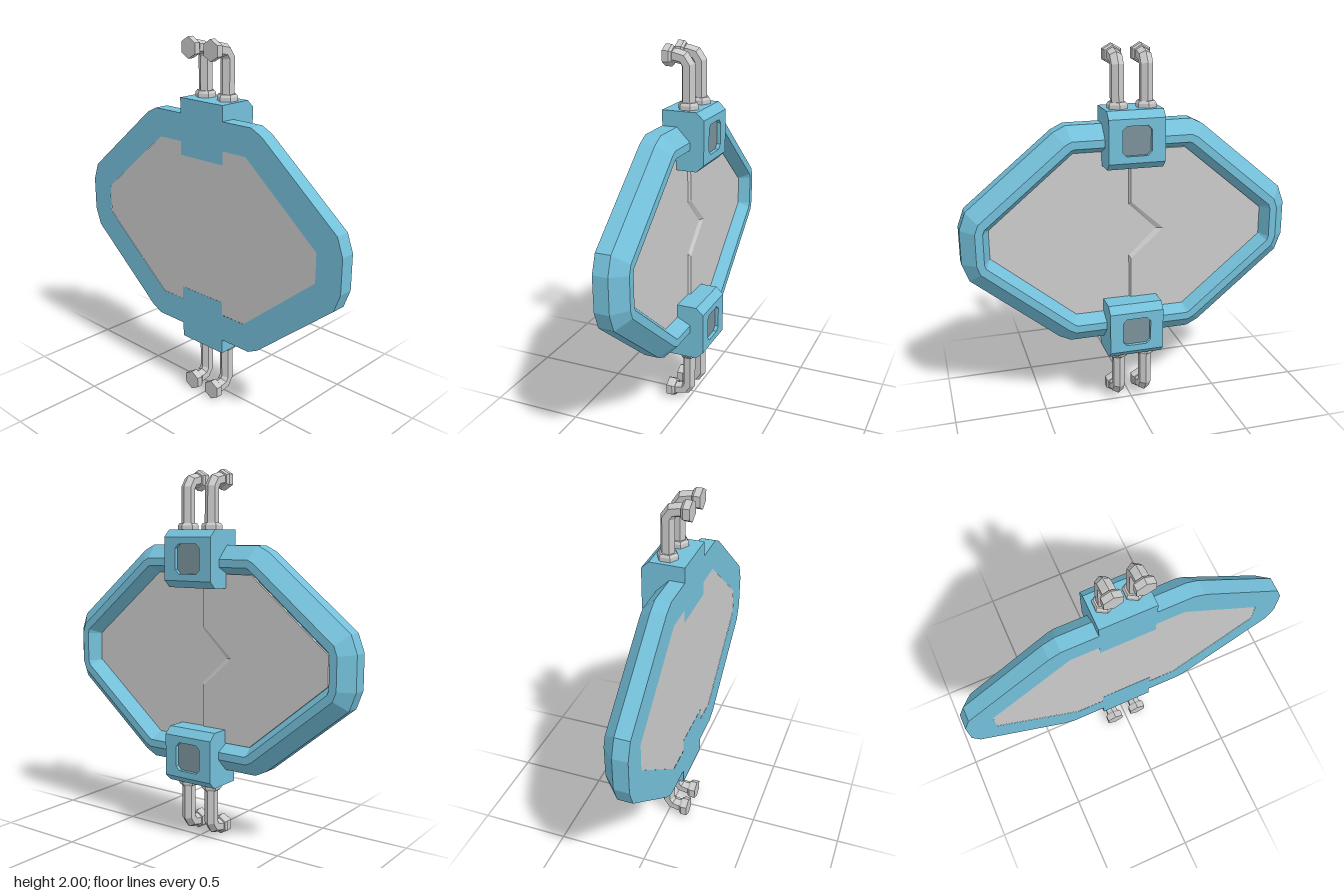
import * as THREE from 'three';

const blue = new THREE.MeshStandardMaterial({ color: 0x74c0da, flatShading: true });
const grey = new THREE.MeshStandardMaterial({ color: 0xcccccc, flatShading: true });
const dark = new THREE.MeshStandardMaterial({ color: 0x7b929b, flatShading: true });

// Skin a series of counter-clockwise rings of [x, y, z] points, flat shaded
function loft(rings, closed = true) {
  const pos = [];
  const tri = (a, b, c) => {
    const t = new THREE.Triangle(...[a, b, c].map((p) => new THREE.Vector3(...p)));
    if (t.getArea() > 1e-9) pos.push(...a, ...b, ...c);
  };
  for (let k = 0; k + 1 < rings.length; k++) {
    const r = rings[k], s = rings[k + 1], n = r.length;
    for (let i = 0; i < (closed ? n : n - 1); i++) {
      const j = (i + 1) % n;
      tri(r[i], r[j], s[i]);
      tri(r[j], s[j], s[i]);
    }
  }
  const g = new THREE.BufferGeometry();
  g.setAttribute('position', new THREE.Float32BufferAttribute(pos, 3));
  g.computeVertexNormals();
  return g;
}

function add(parent, name, geometry, material) {
  const m = new THREE.Mesh(geometry, material);
  m.name = name;
  parent.add(m);
  return m;
}

// Mirror a first-quadrant outline into a full counter-clockwise loop
function fourWay(q) {
  const flip = (sx, sy) => q.map(([x, y]) => [sx * x, sy * y]);
  return [...q, ...flip(-1, 1).reverse(), ...flip(-1, -1), ...flip(1, -1).reverse()];
}
const at = (loop, z) => loop.map(([x, y]) => [x, y, z]);
const toShape = (loop) => new THREE.Shape(loop.map(([x, y]) => new THREE.Vector2(x, y)));
const slab = (loop, z0, z1) =>
  new THREE.ExtrudeGeometry(toShape(loop), { depth: z1 - z0, bevelEnabled: false }).translate(0, 0, z0);

// Door outline: t = 0 is the sharp inner octagon, t = 1 the bevelled outer edge
const outline = (t) => fourWay([
  [0.757 + 0.148 * t, 0.078 + 0.015 * t],
  [0.757 + 0.113 * t, 0.078 + 0.11 * t],
  [0.305 + 0.1 * t, 0.453 + 0.118 * t],
  [0.305 + 0.035 * t, 0.453 + 0.15 * t],
]);

// Boxy clamp with chamfered front and a recessed window
function makeBracket() {
  const g = new THREE.Group();
  const cy = 0.532;
  const octagon = (w, h, c) => fourWay([[w, h - c], [w - c, h]]).map(([x, y]) => [x, y + cy]);
  const box = octagon(0.15, 0.152, 0), front = octagon(0.15, 0.114, 0);
  const hole = octagon(0.078, 0.078, 0.022);
  add(g, 'bracketBody', loft([
    at(box.map(() => [0, cy]), -0.11), at(box, -0.11), at(box, 0.075),
    at(front, 0.115), at(hole, 0.115), at(hole, 0.095),
  ]), blue);
  add(g, 'bracketWindow', new THREE.ShapeGeometry(toShape(hole)).translate(0, 0, 0.095), dark);
  return g;
}

// Hexagonal pipe with base collar, rear bend and end flange
function pipeGeometry() {
  const H = Math.PI / 2;
  // depth, height, bend angle, radius
  const stations = [
    [0.003, 0.67, 0, 0.055], [0.003, 0.705, 0, 0.055], [0.003, 0.718, 0, 0.046], [0.003, 0.718, 0, 0.037],
    [0.003, 0.9, 0.25, 0.037], [-0.02, 0.934, H * 0.65, 0.037], [-0.06, 0.943, H, 0.037],
    [-0.074, 0.943, H, 0.037], [-0.074, 0.943, H, 0.045], [-0.086, 0.943, H, 0.055],
    [-0.12, 0.943, H, 0.055], [-0.12, 0.943, H, 0],
  ];
  return loft(stations.map(([z, y, bend, r]) => Array.from({ length: 6 }, (_, i) => {
    const a = (i * Math.PI) / 3, n = r * Math.cos(a);
    return [r * Math.sin(a), y + n * Math.sin(bend), z + n * Math.cos(bend)];
  })));
}

export function createModel() {
  const model = new THREE.Group();
  model.name = 'hatchDoor';
  const door = new THREE.Group();
  door.name = 'door';
  door.position.y = 1;
  door.rotation.y = Math.PI / 2; // door face looks towards +x
  model.add(door);

  // Frame: cross-section as [outline t, depth]
  const section = [[0, -0.11], [1, -0.11], [1, -0.03], [0.52, 0.04], [0.25, 0.04], [0, -0.035]];
  add(door, 'frame', loft(section.map(([t, z]) => at(outline(t), z))), blue);

  // Door panels: full low plate, plus the raised right leaf with a zigzag seam
  const inner = [[0.305, -0.453], [0.757, -0.078], [0.757, 0.078], [0.305, 0.453]];
  add(door, 'basePanel', slab(fourWay([[0.757, 0.078], [0.305, 0.453]]), -0.109, -0.035), grey);
  const seamLow = [[-0.004, 0.453], [-0.004, 0.155], [0.15, 0.008], [-0.004, -0.137], [-0.004, -0.453]];
  const seamHigh = [[0.006, 0.453], [0.006, 0.172], [0.186, 0.008], [0.006, -0.154], [0.006, -0.453]];
  add(door, 'rightPanel', slab([...inner, ...seamHigh], -0.05, -0.022), grey);
  add(door, 'seamBevel', loft([at(seamLow, -0.035), at(seamHigh, -0.022)], false), grey);

  // Upper and lower fittings: bracket with a pair of pipes
  const pipe = pipeGeometry();
  ['upper', 'lower'].forEach((name, i) => {
    const fitting = new THREE.Group();
    fitting.name = name + 'Fitting';
    fitting.rotation.z = i * Math.PI;
    const bracket = makeBracket();
    bracket.name = name + 'Bracket';
    fitting.add(bracket);
    for (const x of [-0.077, 0.077]) add(fitting, name + 'Pipe', pipe, grey).position.x = x;
    door.add(fitting);
  });
  return model;
}
